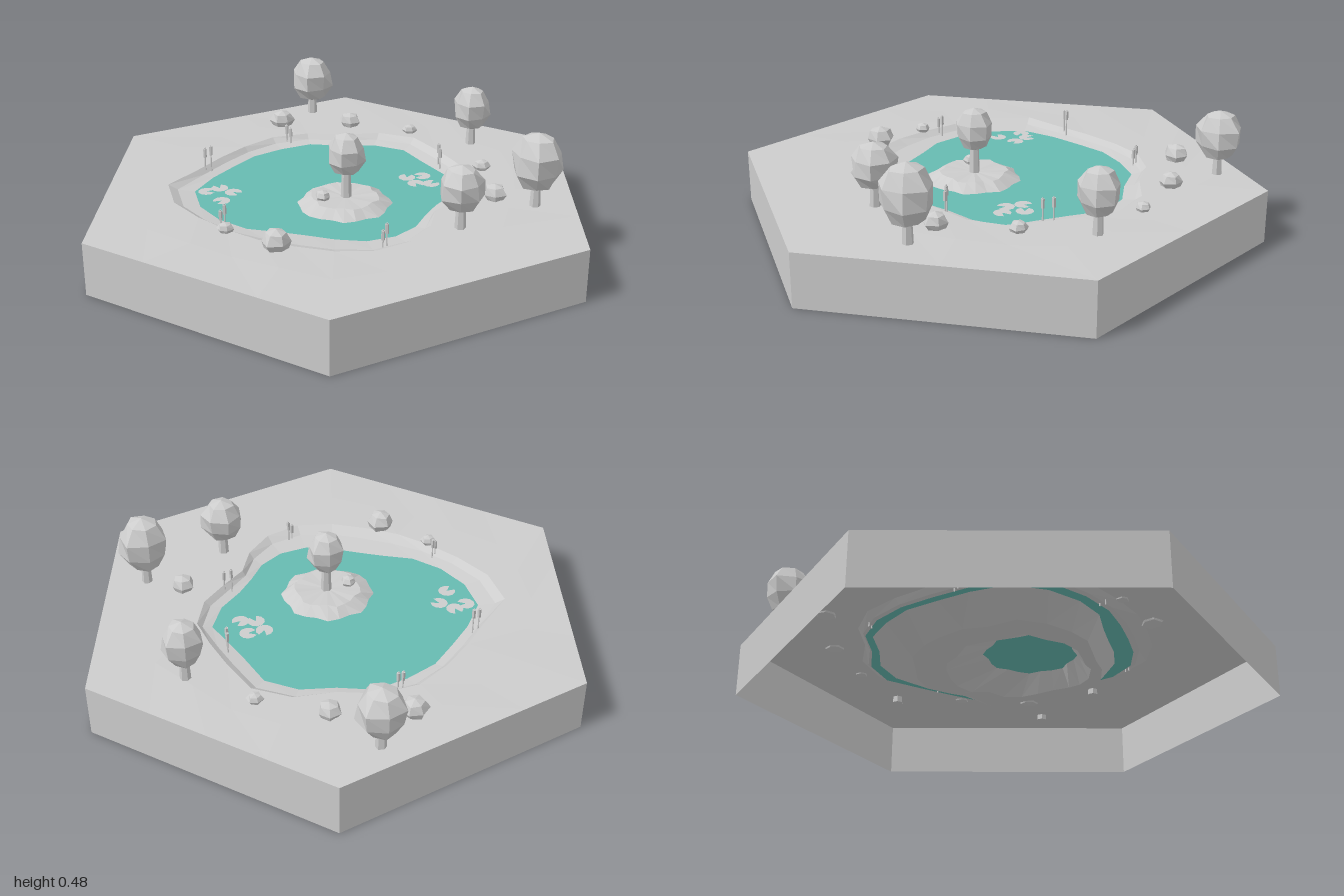
import * as THREE from 'three';

const SEG = 24, WATER_Y = 0.175, ISLAND = [-0.02, 0.085];
const stone = new THREE.MeshStandardMaterial({ color: 0xcccccc, side: THREE.DoubleSide, flatShading: true });
stone.name = 'pale grey';
const teal = new THREE.MeshStandardMaterial({ color: 0x66bab1, side: THREE.DoubleSide, flatShading: true });
teal.name = 'water teal';

// Radii every 15 degrees, from +x towards +z
const SHORE = [.445, .47, .425, .375, .37, .40, .42, .42, .395, .38, .395, .45,
  .49, .525, .545, .51, .49, .50, .50, .51, .48, .505, .505, .455];
const RIM = [.52, .525, .49, .435, .41, .47, .525, .55, .54, .525, .53, .54,
  .57, .62, .645, .57, .55, .555, .575, .565, .535, .58, .59, .54];

let seed = 7;
const rnd = () => (seed = (seed * 16807) % 2147483647) / 2147483647;
const mix = (a, b, t) => a + (b - a) * t;

function mesh(name, geo, mat = stone, x = 0, y = 0, z = 0) {
  const m = new THREE.Mesh(geo, mat);
  m.name = name;
  m.position.set(x, y, z);
  return m;
}

// Closed rings of SEG points, joined from the inside out
function loft(rings) {
  const pos = rings.flat(2), idx = [];
  for (let i = 0; i < rings.length - 1; i++) {
    for (let j = 0; j < SEG; j++) {
      const k = (j + 1) % SEG, a = i * SEG + j, b = i * SEG + k;
      if (i > 0) idx.push(a, b, a + SEG);
      idx.push(b, b + SEG, a + SEG);
    }
  }
  const g = new THREE.BufferGeometry();
  g.setAttribute('position', new THREE.Float32BufferAttribute(pos, 3));
  g.setIndex(idx);
  g.computeVertexNormals();
  return g;
}

const ring = (fn) => Array.from({ length: SEG }, (_, j) => fn(j, j / SEG * Math.PI * 2));
const polar = (r, a, y, c = [0, 0]) => [c[0] + r * Math.cos(a), y, c[1] + r * Math.sin(a)];

// Hexagonal land with a sunken pond bed and an island
function terrain() {
  const hexR = (a) => {
    const t = a % (Math.PI / 3) - Math.PI / 6;
    return Math.cos(Math.PI / 6) / Math.cos(t);
  };
  const isle = (j, a, y) => polar(0.17 + (j % 3 - 1) * 0.008 + (j === 12 ? 0.015 : 0), a, y, ISLAND);
  const bed = (t, y) => ring((j, a) => {
    const p = isle(j, a, 0), q = polar(SHORE[j], a, 0);
    return [mix(p[0], q[0], t), y + (rnd() - 0.5) * 0.02, mix(p[2], q[2], t)];
  });
  return loft([
    ring((j, a) => polar(0, a, 0.2, ISLAND)),
    ring((j, a) => polar(0.115 + (j % 4) * 0.005, a, 0.2 + rnd() * 0.005, ISLAND)),
    ring((j, a) => isle(j, a, WATER_Y)),
    bed(0.35, 0.105),
    bed(0.65, 0.11),
    ring((j, a) => polar(SHORE[j], a, WATER_Y)),
    ring((j, a) => polar(mix(SHORE[j], RIM[j], 0.65), a, 0.183)),
    ring((j, a) => polar(RIM[j], a, 0.202)),
    ring((j, a) => polar(mix(RIM[j], hexR(a), 0.45), a, 0.2 + rnd() * 0.005)),
    ring((j, a) => polar(hexR(a), a, 0.2)),
  ]);
}

// Faceted ball with slightly uneven corners, seam and poles kept together
function lump(r, h, sides, rows) {
  const g = new THREE.SphereGeometry(1, sides, rows), p = g.attributes.position;
  const turn = rnd() * 6;
  for (let i = 0; i < p.count; i++) {
    const col = i % (sides + 1) % sides, row = Math.floor(i / (sides + 1));
    const k = row === 0 || row === rows ? 1 : 1 + 0.09 * Math.sin(col * 2.3 + row * 1.7 + turn);
    p.setXYZ(i, p.getX(i) * k * r, p.getY(i) * h, p.getZ(i) * k * r);
  }
  g.rotateY(turn);
  return g;
}

function tree(x, z, r, y0, y1) {
  const g = new THREE.Group();
  g.name = 'tree';
  const top = y0 + 0.04;
  g.add(mesh('trunk', new THREE.CylinderGeometry(0.016, 0.021, top - 0.18, 6), stone, x, (top + 0.18) / 2, z));
  g.add(mesh('crown', lump(r, (y1 - y0) / 2, 7, 5), stone, x, (y0 + y1) / 2, z));
  return g;
}

function reeds(stalks) {
  const g = new THREE.Group();
  g.name = 'reeds';
  for (const [x, z, top] of stalks) {
    g.add(mesh('stalk', new THREE.CylinderGeometry(0.003, 0.003, top - 0.17, 4), stone, x, (top + 0.17) / 2, z));
    g.add(mesh('reedHead', new THREE.CylinderGeometry(0.007, 0.007, 0.035, 5), stone, x, top - 0.022, z));
  }
  return g;
}

export function createModel() {
  const model = new THREE.Group();
  model.name = 'pondTile';

  model.add(mesh('land', terrain()));
  model.add(mesh('sideWalls', new THREE.CylinderGeometry(1, 1, 0.2, 6, 1, true, Math.PI / 6), stone, 0, 0.1, 0));

  // Water sheet reaching slightly under the bank
  model.add(mesh('water', loft([
    ring((j, a) => polar(0, a, WATER_Y)),
    ring((j, a) => polar(mix(SHORE[j], RIM[j], 0.5), a, WATER_Y)),
  ]), teal));

  // Trees: x, z, crown radius, crown bottom and top
  for (const t of [[-0.015, 0.085, 0.072, 0.285, 0.452], [0.285, -0.77, 0.088, 0.255, 0.448],
    [0.68, -0.13, 0.076, 0.265, 0.447], [0.55, 0.485, 0.096, 0.26, 0.485],
    [0.205, 0.515, 0.083, 0.265, 0.44]]) model.add(tree(...t));

  // Rocks: x, z, radius, height above ground
  for (const [x, z, r, h] of [[0.1, -0.69, 0.05, 0.064], [0.35, -0.55, 0.044, 0.056], [0.53, -0.36, 0.03, 0.034],
    [0.57, 0.11, 0.034, 0.04], [0.455, 0.365, 0.045, 0.06], [-0.43, 0.35, 0.054, 0.073],
    [-0.53, 0.15, 0.03, 0.035], [-0.105, 0.07, 0.03, 0.036]]) {
    model.add(mesh('rock', lump(r, h * 0.62, 6, 4), stone, x, 0.2 + h * 0.38, z));
  }

  // Reeds in pairs: x, z, top
  for (const pair of [
    [[-0.37, -0.41, 0.285], [-0.345, -0.41, 0.29]],
    [[0.05, -0.545, 0.26], [0.06, -0.53, 0.25]],
    [[0.475, -0.05, 0.27], [0.46, -0.015, 0.265]],
    [[0.29, 0.28, 0.285], [0.315, 0.292, 0.275]],
    [[-0.09, 0.485, 0.25], [-0.073, 0.482, 0.27]],
    [[-0.52, 0.085, 0.255], [-0.5, 0.075, 0.27]],
  ]) model.add(reeds(pair));

  // Notched lily pads floating in two clusters
  [[-0.435, -0.245], [-0.38, -0.25], [-0.42, -0.14], [-0.35, -0.19],
    [0.3, 0], [0.36, 0.015], [0.3, 0.065], [0.35, 0.095]].forEach(([x, z], i) => {
    const pad = new THREE.CircleGeometry(0.033, 9, i * 1.9, 5.4).rotateX(-Math.PI / 2);
    model.add(mesh('lilyPad', pad, stone, x, WATER_Y + 0.004, z));
  });

  return model;
}
